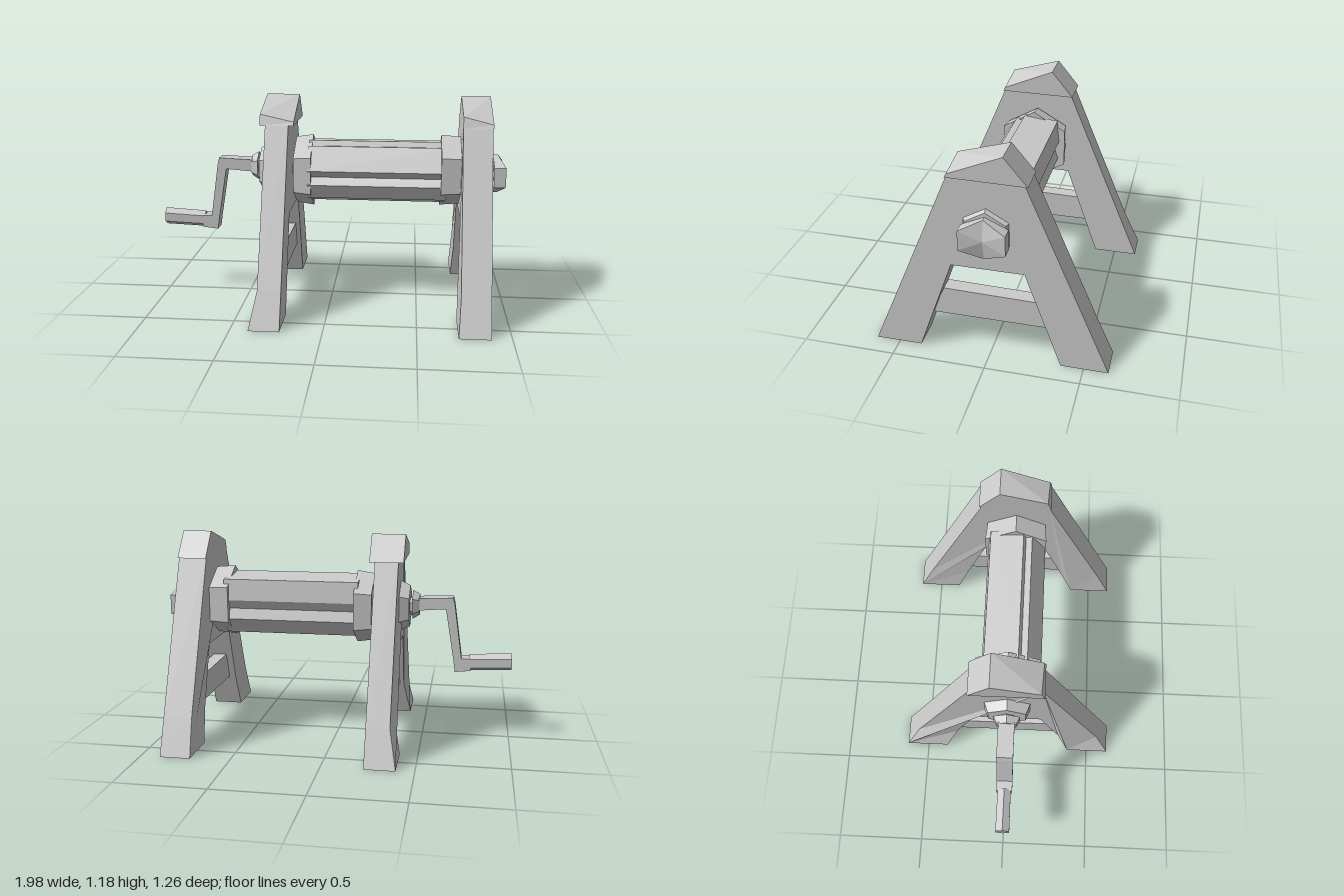
import * as THREE from 'three';

const material = new THREE.MeshStandardMaterial({ color: 0xcccccc, flatShading: true });

function add(group, name, geometry) {
  const mesh = new THREE.Mesh(geometry, material);
  mesh.name = name;
  group.add(mesh);
  return mesh;
}

// Move every vertex by a rule
function warp(geometry, rule) {
  const p = geometry.attributes.position;
  const v = new THREE.Vector3();
  for (let i = 0; i < p.count; i++) {
    v.fromBufferAttribute(p, i);
    rule(v);
    p.setXYZ(i, v.x, v.y, v.z);
  }
  geometry.computeVertexNormals();
  return geometry;
}

// Solid with a [z, y] outline running from x0 to x1
function prism(outline, x0, x1) {
  const shape = new THREE.Shape(outline.map(([z, y]) => new THREE.Vector2(-z, y)));
  const g = new THREE.ExtrudeGeometry(shape, { depth: x1 - x0, bevelEnabled: false });
  return g.rotateY(Math.PI / 2).translate(x0, 0, 0);
}

// Six-sided drum along x with a corner pointing up
function hexDrum(x0, x1, r0, r1, y = 0.76, z = 0) {
  const g = new THREE.CylinderGeometry(r1, r0, x1 - x0, 6);
  return g.rotateZ(-Math.PI / 2).rotateX(Math.PI / 2).translate((x0 + x1) / 2, y, z);
}

// A-shaped trestle with cap and cross rail
function trestle(name, x0, x1, flare, capX0, capX1) {
  const group = new THREE.Group();
  group.name = name;
  const half = [[0.38, 0], [0.63, 0], [0.546, 0.2], [0.19, 1.05]];
  const outline = [[0.19, 0.54], [0.31, 0.2], ...half];
  const mirrored = outline.map(([z, y]) => [-z, y]).reverse();
  add(group, 'legs', warp(prism([...outline, ...mirrored], x0, x1), (v) => {
    if (v.y < 0.01 && v.x < x0 + 0.01) v.x -= flare;
  }));

  // Lopsided roof cap, taller at its front outer corner
  const cap = prism([[0.2, 1.04], [0.19, 1.06], [-0.09, 1.18], [-0.21, 1.035]], capX0, capX1);
  add(group, 'cap', warp(cap, (v) => {
    if (v.x < capX0 + 0.01 && Math.abs(v.y - 1.06) < 0.005) v.set(v.x, 1.1, 0.18);
  }));

  const mid = (x0 + x1) / 2;
  add(group, 'crossRail', prism(
    [[0.32, 0.2], [0.25, 0.36], [-0.25, 0.35], [-0.32, 0.2]], mid - 0.04, mid + 0.04));
  return group;
}

export function createModel() {
  const model = new THREE.Group();
  model.name = 'windlass';

  model.add(trestle('rightTrestle', -0.36, -0.23, 0.04, -0.39, -0.2));
  model.add(trestle('leftTrestle', 0.73, 0.89, 0.01, 0.73, 0.895));

  // Roller made of planks with grooves between them
  add(model, 'roller', prism([
    [-0.14, 0.91], [0.05, 0.935], [0.065, 0.905], [0.1, 0.91], [0.18, 0.78],
    [0.14, 0.74], [0.18, 0.7], [0.14, 0.62], [0.09, 0.63], [0.06, 0.59],
    [-0.08, 0.59], [-0.15, 0.68], [-0.13, 0.74], [-0.155, 0.79],
  ], -0.13, 0.65));
  add(model, 'rightCollar', hexDrum(-0.21, -0.11, 0.195, 0.21, 0.75, -0.005));
  add(model, 'leftCollar', hexDrum(0.62, 0.735, 0.205, 0.195, 0.765, 0.005));

  // Axle and washers
  add(model, 'axle', hexDrum(-0.45, 0.94, 0.05, 0.05));
  add(model, 'leftWasher', hexDrum(0.88, 0.91, 0.14, 0.12));
  add(model, 'rightWasher', hexDrum(-0.415, -0.35, 0.12, 0.15));
  add(model, 'crankWasher', hexDrum(-0.47, -0.43, 0.06, 0.085, 0.77));

  // Pinched end knob, thinnest at its middle
  add(model, 'endKnob', warp(hexDrum(0.915, 0.985, 0.11, 0.11, 0.75), (v) => {
    const outer = v.x > 0.95;
    const centre = Math.hypot(v.y - 0.75, v.z) < 0.01;
    if (centre) v.x = outer ? 0.965 : 0.93;
    else if (outer) v.x = 1.02 - 0.7 * Math.abs(v.y - 0.75);
    v.z *= 1.25;
  }));

  // Bent crank arm
  const arm = new THREE.Shape([
    [-0.43, 0.74], [-0.43, 0.81], [-0.66, 0.82], [-0.67, 0.78], [-0.715, 0.47],
    [-0.77, 0.47], [-0.77, 0.4], [-0.68, 0.39], [-0.67, 0.46], [-0.62, 0.755],
  ].map(([x, y]) => new THREE.Vector2(x, y)));
  const armGeometry = new THREE.ExtrudeGeometry(arm, { depth: 0.09, bevelEnabled: false });
  add(model, 'crankArm', armGeometry.translate(0, 0, -0.045));

  // Hand grip, slightly tilted
  add(model, 'grip', warp(hexDrum(-1, -0.76, 0.05, 0.048, 0.44), (v) => {
    v.y += (-0.76 - v.x) * 0.05;
    v.z *= 0.9;
  }));

  return model;
}
